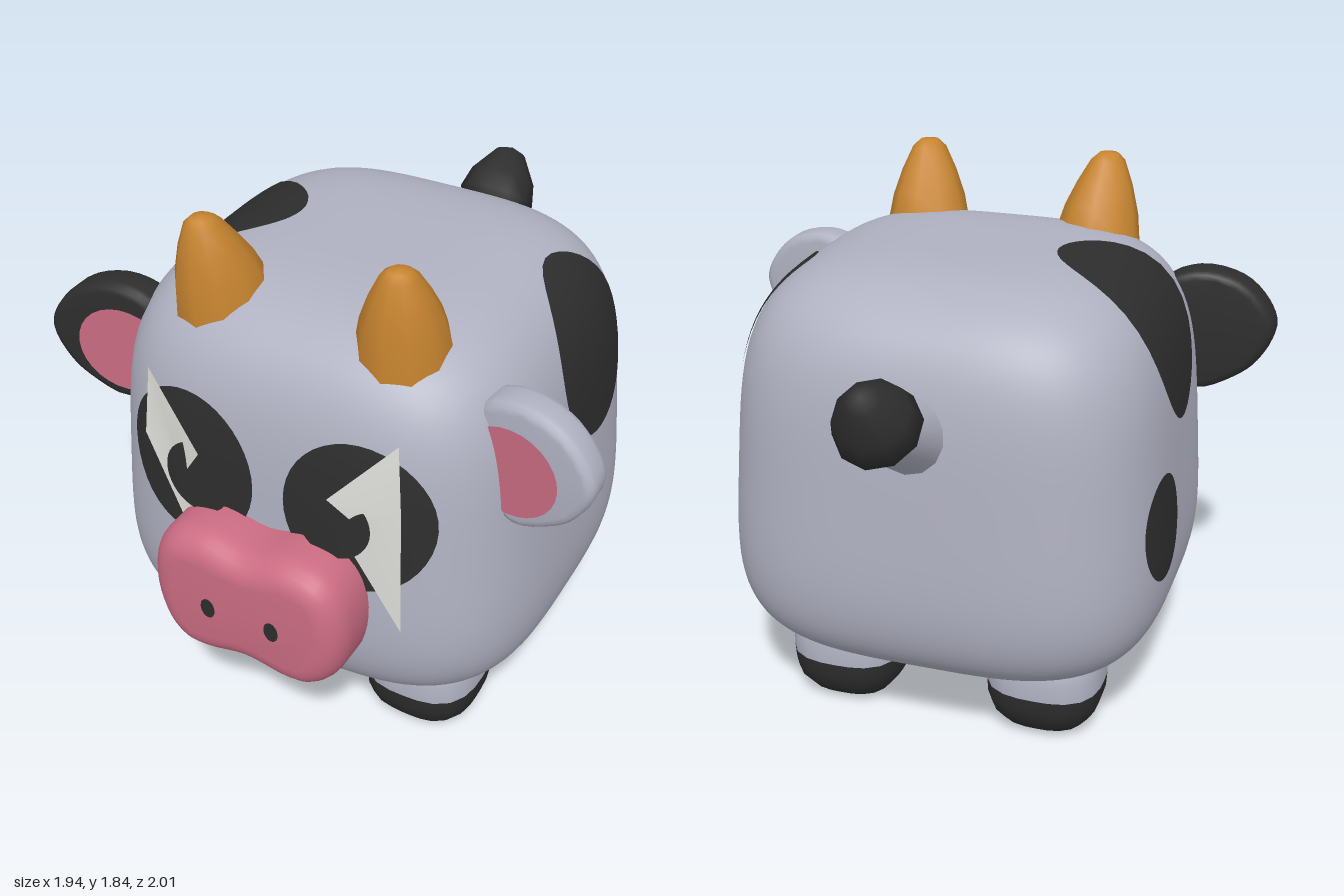
import * as THREE from 'three';
import { mergeVertices, toCreasedNormals } from 'three/addons/utils/BufferGeometryUtils.js';

const mat = (name, color) => {
  const m = new THREE.MeshStandardMaterial({ color });
  m.name = name;
  return m;
};

// Body is a tapered superellipsoid: centre C, half sizes H,
// exponent M around the y axis and N from top to bottom
const C = new THREE.Vector3(0, 0.925, 0.083);
const H = new THREE.Vector3(0.76, 0.705, 0.725);
const M = 3.5, N = 4;
const pow = (a, n) => Math.abs(a) ** n;
const ring = v => (pow(v.x, M) + pow(v.z, M)) ** (1 / M);
const taper = { x: y => 0.985 - 0.07 * y, z: y => 0.995 - 0.05 * y };

// Move every vertex by a rule that edits the vector in place
function warp(geo, rule) {
  const p = geo.attributes.position, v = new THREE.Vector3();
  for (let i = 0; i < p.count; i++) {
    rule(v.fromBufferAttribute(p, i));
    p.setXYZ(i, v.x, v.y, v.z);
  }
  geo.computeVertexNormals();
  return geo;
}

function smooth(geo) {
  geo.deleteAttribute('normal');
  geo.deleteAttribute('uv');
  const g = mergeVertices(geo, 1e-4);
  g.computeVertexNormals();
  return g;
}

// Push a point radially onto the unit superellipsoid
const snap = v => v.multiplyScalar((ring(v) ** N + pow(v.y, N)) ** (-1 / N));

// Unit superellipsoid point to model space, raised along the surface normal
function place(v, lift) {
  const k = ring(v) ** (N - M);
  const n = new THREE.Vector3(
    k * Math.sign(v.x) * pow(v.x, M - 1), Math.sign(v.y) * pow(v.y, N - 1), k * Math.sign(v.z) * pow(v.z, M - 1),
  ).divide(H).normalize();
  v.x *= taper.x(v.y);
  v.z *= taper.z(v.y);
  v.multiply(H).add(C).addScaledVector(n, lift);
}

// Oval laid on the body, projected along x or z; a is z (or x), b is y
function patch(axis, side, a, b, ra, rb, lift = 0.006) {
  const other = axis === 'x' ? 'z' : 'x';
  const flip = axis === 'x' ? -side : side;
  return warp(new THREE.RingGeometry(0, 1, 40, 12), v => {
    const r = Math.hypot(v.x, v.y) || 1e-6, k = Math.sin(r * Math.PI / 2) / r;
    const pa = a + flip * ra * v.x * k, pb = b + rb * v.y * k;
    v.y = (pb - C.y) / H.y;
    v[other] = (pa - C[other]) / (H[other] * taper[other](v.y));
    const radius = (1 - pow(v.y, N)) ** (1 / N);
    v[axis] = side * Math.max(0, radius ** M - pow(v[other], M)) ** (1 / M);
    place(v, lift);
  });
}

// Oval on the right upper edge, projected from the body centre; tilt is above -x
function edgePatch(tilt, z, rz, rt) {
  const c = Math.cos(tilt), s = Math.sin(tilt);
  return warp(new THREE.RingGeometry(0, 1, 40, 14), v => {
    const t = rt * v.y;
    v.set(-c + s * t, s + c * t, z + rz * v.x);
    place(snap(v.divide(H)), 0.006);
  });
}

// Closed smooth outline through a few points
function outline(points, count) {
  const curve = new THREE.CatmullRomCurve3(points.map(([x, y]) => new THREE.Vector3(x, y, 0)), true);
  return new THREE.Shape(curve.getPoints(count).slice(0, -1).map(p => new THREE.Vector2(p.x, p.y)));
}

const lathe = (pts, sides) => new THREE.LatheGeometry(pts.map(p => new THREE.Vector2(...p)), sides);

// Turn a round section into a rounded square
const squareOff = v => {
  const r = Math.hypot(v.x, v.z) || 1, n = 2.8;
  const k = (pow(v.x / r, n) + pow(v.z / r, n) || 1) ** (-1 / n);
  v.x *= k;
  v.z *= k;
};

export function createModel() {
  const root = new THREE.Group();
  root.name = 'cubeCow';
  const hide = mat('greyHide', 0xb0b1c1);
  const black = mat('black', 0x2d2d2d);
  const pink = mat('pink', 0xcb6c83);
  const horn = mat('horn', 0xc88530);
  const pale = mat('paleEye', 0xdcdcd8);
  pale.side = THREE.DoubleSide;

  const add = (name, geo, material, parent = root) => {
    const m = new THREE.Mesh(geo, material);
    m.name = name;
    parent.add(m);
    return m;
  };

  add('body', warp(smooth(new THREE.BoxGeometry(2, 2, 2, 30, 30, 30)), v => place(snap(v), 0)), hide);

  // Hide spots
  add('leftSpot', patch('x', 1, -0.1, 1.292, 0.275, 0.283), black);
  add('rightUpperSpot', edgePatch(0.68, -0.02, 0.33, 0.5), black);
  add('rightLowerSpot', patch('x', -1, -0.22, 0.81, 0.15, 0.185), black);

  // Eyes: dark patch, pale plate, raised pupil
  const plates = {
    1: [[0.437, 1.38], [0.458, 1.155], [0.458, 0.683], [0.31, 0.96], [0.32, 1.08], [0.228, 1.155]],
    '-1': [[-0.437, 1.38], [-0.453, 1.144], [-0.28, 0.8], [-0.24, 0.9], [-0.3, 1.05], [-0.228, 1.16]],
  };
  for (const s of [1, -1]) {
    const side = s > 0 ? 'left' : 'right';
    add(side + 'EyePatch', patch('z', 1, s * 0.3, 1.07, 0.245, 0.26), black);
    const shape = new THREE.Shape(plates[s].map(p => new THREE.Vector2(...p)));
    add(side + 'EyePlate', warp(new THREE.ShapeGeometry(shape), v => {
      v.z = 0.838 - 0.18 * (Math.abs(v.x) - 0.2) - 0.13 * Math.max(0, v.y - 1.16);
    }), pale);
    add(side + 'Pupil', patch('z', 1, s * 0.24, 1.06, 0.12, 0.123, 0.034), black);
  }

  // Peanut-shaped snout with nostrils
  const half = [[0.15, 0.962], [0.27, 0.935], [0.33, 0.86], [0.35, 0.71], [0.31, 0.56], [0.235, 0.49], [0.15, 0.478]];
  const snoutShape = outline([[0, 0.936], ...half, [0, 0.502], ...half.map(([x, y]) => [-x, y]).reverse()], 64);
  const snout = new THREE.ExtrudeGeometry(snoutShape, {
    depth: 0.1, bevelEnabled: true, bevelSize: 0.09, bevelOffset: -0.09, bevelThickness: 0.1, bevelSegments: 6,
  });
  add('snout', toCreasedNormals(snout.translate(0, 0, 0.8), 0.7), pink);
  for (const s of [1, -1]) {
    const nostril = new THREE.CircleGeometry(1, 16).scale(0.026, 0.038, 1).translate(s * 0.116, 0.707, 1.004);
    add(s > 0 ? 'leftNostril' : 'rightNostril', nostril, black);
  }

  // Ears: rounded slabs swept slightly forward, with a pink inside
  const earPoints = [[0.575, 1.42], [0.69, 1.48], [0.845, 1.45], [0.94, 1.36], [0.972, 1.27], [0.92, 1.155],
    [0.845, 1.09], [0.71, 1.04], [0.62, 1.12]];
  const sweep = v => { v.z += 0.13 * (Math.abs(v.x) - 0.6); };
  for (const s of [1, -1]) {
    const side = s > 0 ? 'left' : 'right';
    const ear = new THREE.ExtrudeGeometry(outline(earPoints.map(([x, y]) => [s * x, y]), 36), {
      depth: 0.06, bevelEnabled: true, bevelSize: 0.03, bevelOffset: -0.03, bevelThickness: 0.035, bevelSegments: 3,
    });
    add(side + 'Ear', toCreasedNormals(warp(ear.translate(0, 0, 0.45), sweep), 0.7), s > 0 ? hide : black);
    const inner = new THREE.CircleGeometry(1, 28).scale(0.165, 0.155, 1).translate(s * 0.695, 1.242, 0.55);
    add(side + 'InnerEar', warp(inner, sweep), pink);
  }

  // Horns: base follows the slope of the head, tip leans forward
  const hornProfile = [[0.152, -0.03], [0.15, 0], [0.13, 0.1], [0.098, 0.19], [0.06, 0.27], [0.035, 0.292], [0, 0.297]];
  for (const s of [1, -1]) {
    const g = warp(lathe(hornProfile, 10), v => {
      const t = Math.min(1, Math.max(0, v.y / 0.3));
      v.y -= (1 - t) * (0.37 * v.z + 0.12 * v.x * s);
      v.z += 0.06 * t;
      v.x += s * 0.015 * t;
    });
    add(s > 0 ? 'leftHorn' : 'rightHorn', smooth(g), horn).position.set(s * 0.32, 1.545, 0.512);
  }

  // Four stubby legs with black hooves
  const hoof = smooth(warp(lathe([[0, 0], [0.09, 0.006], [0.15, 0.03], [0.185, 0.075], [0.2, 0.125], [0.203, 0.175]], 24), squareOff));
  const shank = warp(lathe([[0.203, 0.175], [0.203, 0.24], [0.19, 0.29], [0.16, 0.36]], 24), squareOff);
  for (const s of [1, -1]) {
    for (const [end, z] of [['front', 0.39], ['back', -0.21]]) {
      const leg = new THREE.Group();
      leg.name = end + (s > 0 ? 'Left' : 'Right') + 'Leg';
      leg.position.set(s * 0.365, 0, z);
      add('hoof', hoof, black, leg);
      add('shank', shank, hide, leg);
      root.add(leg);
    }
  }

  // Tail and tuft
  const tail = add('tail', lathe([[0.135, -0.03], [0.125, 0.04], [0.105, 0.15], [0.092, 0.25]], 14), hide);
  tail.position.set(0, 1.195, -0.58);
  tail.rotation.x = -1.17;
  const tuft = add('tailTuft', smooth(lathe([[0, 0], [0.09, 0], [0.14, 0.07], [0.12, 0.15], [0.055, 0.245], [0, 0.265]], 10)), black);
  tuft.position.set(0, 1.275, -0.8);
  tuft.rotation.x = -0.73;

  return root;
}
